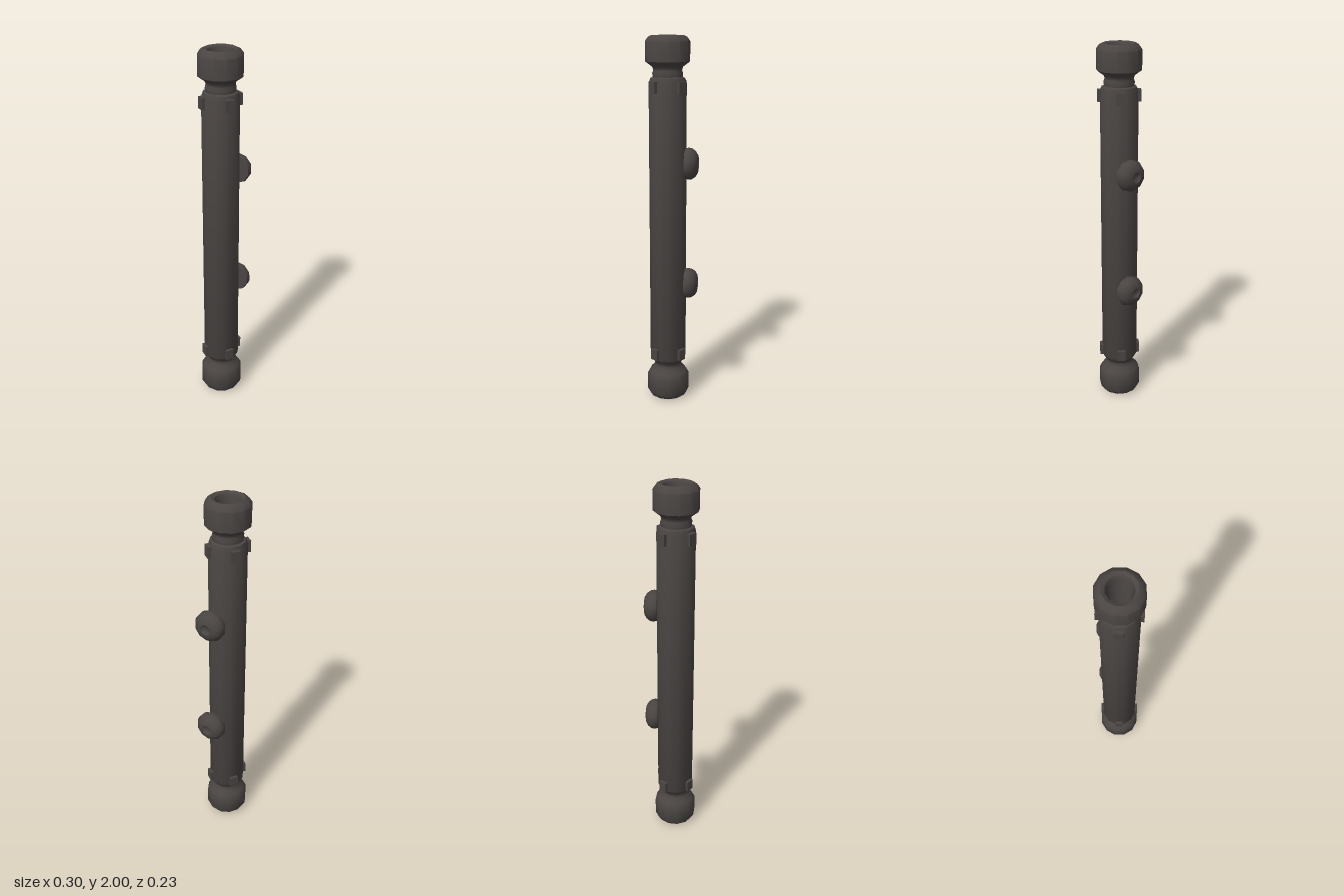
import * as THREE from 'three';
import { toCreasedNormals } from 'three/addons/utils/BufferGeometryUtils.js';

const darkMetal = new THREE.MeshStandardMaterial({ color: 0x4a4543 });
darkMetal.name = 'darkMetal';

// Revolve a [radius, height] profile, keeping its hard edges sharp
function turned(name, profile, sides, crease = 0.75) {
  const points = profile.map(([r, y]) => new THREE.Vector2(r, y));
  const geometry = toCreasedNormals(new THREE.LatheGeometry(points, sides), crease);
  const mesh = new THREE.Mesh(geometry, darkMetal);
  mesh.name = name;
  return mesh;
}

export function createModel() {
  const model = new THREE.Group();
  model.name = 'hollowRod';

  // The rod stands a little off centre; the knobs balance it
  const rod = new THREE.Group();
  rod.name = 'rod';
  rod.position.x = -0.035;
  model.add(rod);

  // Hollow tube with necks and a rounded collar at each end
  rod.add(turned('hollowTube', [
    [0.057, 0.035], [0.066, 0.008], [0.083, 0.0], [0.1, 0.01], [0.116, 0.035],
    [0.116, 0.13], [0.104, 0.152], [0.08, 0.175], [0.074, 0.195], [0.082, 0.215],
    [0.09, 0.222], [0.099, 0.24],
    [0.099, 1.76], [0.09, 1.785], [0.078, 1.79], [0.08, 1.81], [0.074, 1.825],
    [0.08, 1.842], [0.116, 1.868],
    [0.116, 1.97], [0.1, 1.992], [0.083, 2.0], [0.066, 1.992], [0.057, 1.965],
    [0.057, 0.035],
  ], 12));

  // Four small tabs around each end of the tube
  for (const [end, y, turn] of [['upper', 1.74, -0.34], ['lower', 0.27, -0.3]]) {
    for (let i = 0; i < 4; i++) {
      const angle = turn + i * Math.PI / 2;
      const tab = new THREE.Mesh(new THREE.BoxGeometry(0.046, 0.06, 0.03), darkMetal);
      tab.name = end + 'Tab';
      tab.position.set(Math.sin(angle) * 0.097, y, Math.cos(angle) * 0.097);
      tab.rotation.y = angle;
      rod.add(tab);
    }
  }

  // Two domed knobs with a shallow dimple, facing sideways and slightly back
  const axis = new THREE.Vector3(0.94, 0, -0.34).normalize();
  for (const [name, y] of [['upperKnob', 1.345], ['lowerKnob', 0.685]]) {
    const knob = turned(name, [
      [0, 0], [0.08, 0], [0.085, 0.018], [0.082, 0.036], [0.068, 0.055],
      [0.048, 0.067], [0.03, 0.07], [0.022, 0.06], [0, 0.058],
    ], 10, 0.9);
    knob.position.set(0.068, y, -0.002);
    knob.quaternion.setFromUnitVectors(new THREE.Vector3(0, 1, 0), axis);
    model.add(knob);
  }
  return model;
}
